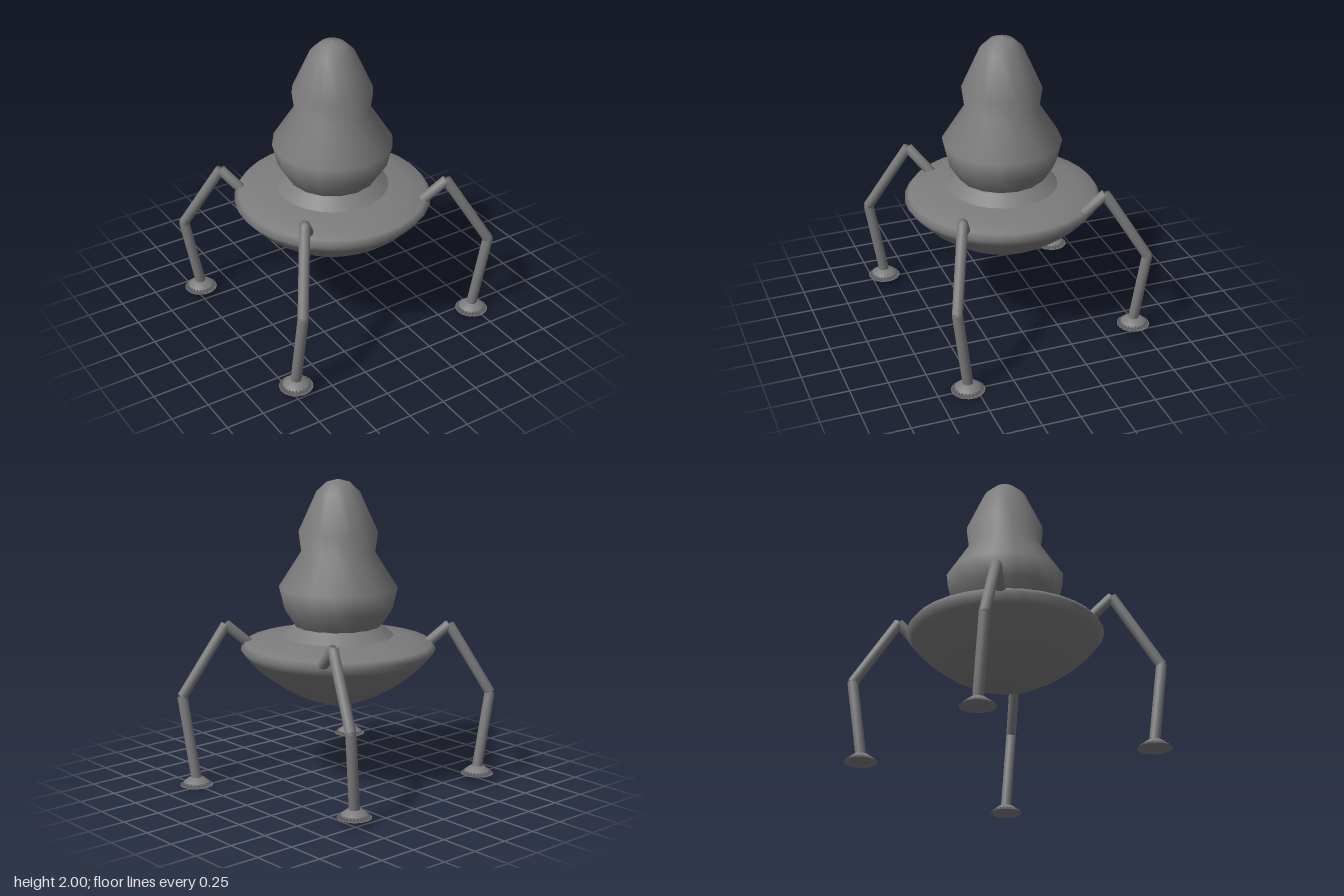
import * as THREE from 'three';
import { mergeVertices } from 'three/addons/utils/BufferGeometryUtils.js';

const material = new THREE.MeshStandardMaterial({ color: 0x7c7c7c });
const UP = new THREE.Vector3(0, 1, 0);

function lathe(name, points, segments) {
  const profile = points.map(([r, y]) => new THREE.Vector2(r, y));
  const mesh = new THREE.Mesh(new THREE.LatheGeometry(profile, segments), material);
  mesh.name = name;
  return mesh;
}

// Capped tube between two points, shaded smoothly over its ends
function strut(name, a, b) {
  const from = new THREE.Vector3(...a);
  const dir = new THREE.Vector3(...b).sub(from);
  const tube = new THREE.CylinderGeometry(0.034, 0.034, dir.length(), 16);
  tube.deleteAttribute('normal');
  tube.deleteAttribute('uv');
  const geometry = mergeVertices(tube);
  geometry.computeVertexNormals();
  const mesh = new THREE.Mesh(geometry, material);
  mesh.name = name;
  mesh.position.copy(from).addScaledVector(dir, 0.5);
  mesh.quaternion.setFromUnitVectors(UP, dir.normalize());
  return mesh;
}

// Three struts from hip to ankle and a flared foot pad
function leg(name, { hip, shoulder, knee, foot }) {
  const group = new THREE.Group();
  group.name = name;
  const [x, y, z] = foot;
  const pad = lathe('footPad', [[0, 0], [0.108, 0], [0.08, 0.024], [0.048, 0.048], [0, 0.062]], 24);
  pad.position.set(x, y, z);
  group.add(
    strut('hipStrut', hip, shoulder),
    strut('upperLeg', shoulder, knee),
    strut('lowerLeg', knee, [x, y + 0.04, z]),
    pad
  );
  return group;
}

export function createModel() {
  const model = new THREE.Group();
  model.name = 'walker';

  const body = new THREE.Group();
  body.name = 'body';
  body.position.set(-0.047, 0, 0.033);
  body.add(
    // Saucer hull with a rounded rim
    lathe('hull', [[0, 0.515], [0.08, 0.521], [0.17, 0.552], [0.27, 0.595], [0.37, 0.652], [0.46, 0.715],
      [0.535, 0.778], [0.6, 0.848], [0.638, 0.898], [0.61, 0.935], [0.5, 0.959], [0.37, 0.983], [0.3, 0.985]], 32),
    // Collar between the hull and the tower
    lathe('collar', [[0.385, 0.965], [0.34, 1.0], [0.29, 1.045], [0.27, 1.06], [0, 1.06]], 32),
    // Bulging tower pinched at the waist below its domed top
    lathe('tower', [[0.27, 1.04], [0.288, 1.055], [0.355, 1.16], [0.387, 1.3], [0.24, 1.53],
      [0.257, 1.66], [0.14, 1.92], [0.075, 1.98], [0, 2]], 16)
  );
  model.add(body);

  model.add(
    leg('frontLeftLeg', { hip: [0.37, 0.91, 0.43], shoulder: [0.52, 1.055, 0.495], knee: [0.785, 0.59, 0.625], foot: [0.74, 0, 0.55] }),
    leg('frontRightLeg', { hip: [-0.445, 0.93, 0.39], shoulder: [-0.55, 1.09, 0.52], knee: [-0.715, 0.615, 0.765], foot: [-0.72, 0.045, 0.675] }),
    leg('backRightLeg', { hip: [-0.52, 0.9, -0.3], shoulder: [-0.627, 1.04, -0.41], knee: [-0.815, 0.59, -0.61], foot: [-0.725, 0.045, -0.595] }),
    leg('backLeftLeg', { hip: [0.41, 0.9, -0.34], shoulder: [0.447, 1.045, -0.48], knee: [0.54, 0.595, -0.75], foot: [0.47, 0.045, -0.705] })
  );
  return model;
}
